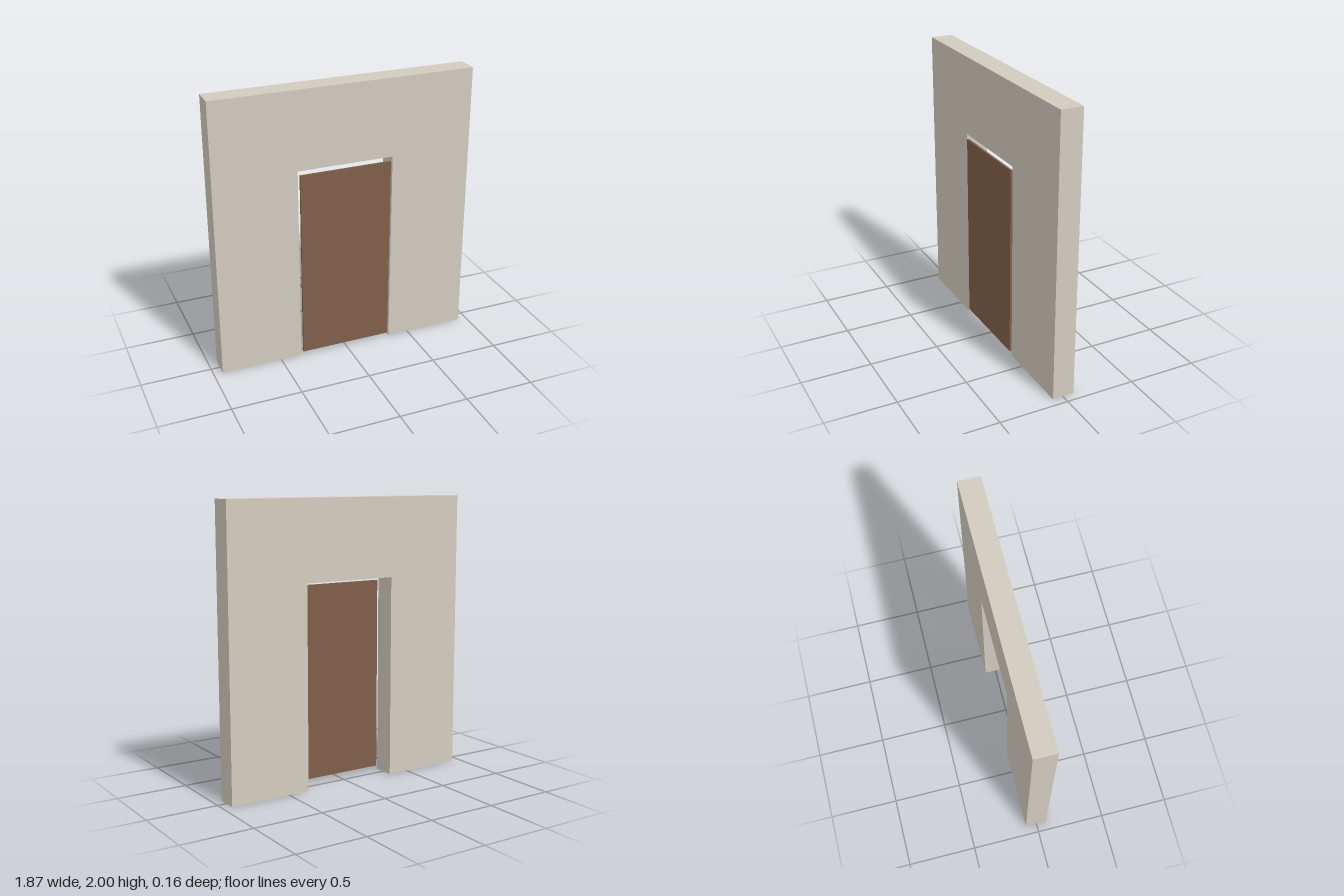
import * as THREE from 'three';

const WALL = { halfWidth: 0.935, height: 2, back: -0.082, depth: 0.156 };
const OPENING = { halfWidth: 0.346, height: 1.438 };
const DOOR = { width: 0.662, bottom: 0.03, top: 1.406, front: 0.082, depth: 0.016 };

export function createModel() {
  const model = new THREE.Group();
  model.name = 'doorway';

  // Wall: one outline with the doorway notched out of its foot
  const outline = new THREE.Shape([
    [-WALL.halfWidth, 0],
    [-OPENING.halfWidth, 0],
    [-OPENING.halfWidth, OPENING.height],
    [OPENING.halfWidth, OPENING.height],
    [OPENING.halfWidth, 0],
    [WALL.halfWidth, 0],
    [WALL.halfWidth, WALL.height],
    [-WALL.halfWidth, WALL.height],
  ].map(([x, y]) => new THREE.Vector2(x, y)));
  const wall = new THREE.Mesh(
    new THREE.ExtrudeGeometry(outline, { depth: WALL.depth, bevelEnabled: false }),
    new THREE.MeshStandardMaterial({ color: 0xd2cbbf }),
  );
  wall.name = 'wall';
  wall.position.z = WALL.back;
  model.add(wall);

  // Door: thin slab with a gap all round, slightly proud of the wall front
  const door = new THREE.Mesh(
    new THREE.BoxGeometry(DOOR.width, DOOR.top - DOOR.bottom, DOOR.depth),
    new THREE.MeshStandardMaterial({ color: 0x805e48 }),
  );
  door.name = 'door';
  door.position.set(0, (DOOR.top + DOOR.bottom) / 2, DOOR.front - DOOR.depth / 2);
  model.add(door);

  return model;
}
